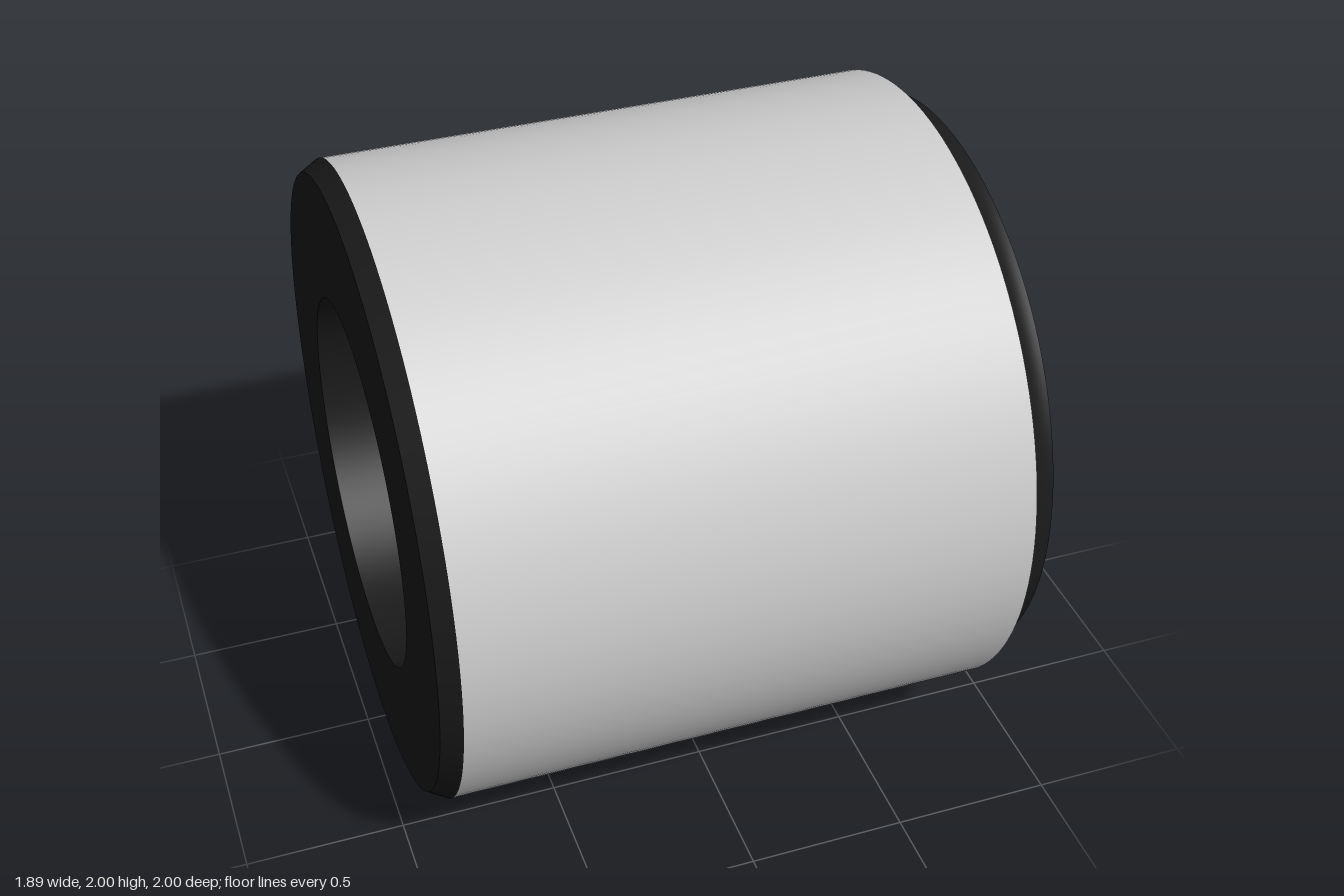
import * as THREE from 'three';

const SEGMENTS = 128;

export function createModel() {
  const model = new THREE.Group();
  model.name = 'bushing';
  const grey = new THREE.MeshStandardMaterial({ color: 0xcccccc });
  const black = new THREE.MeshStandardMaterial({ color: 0x1a1a1a });

  // Revolves [x, radius] points around the x axis; separate calls keep edges sharp
  const ring = (name, material, ...profile) => {
    const points = profile.map(([x, r]) => new THREE.Vector2(r, x));
    const geometry = new THREE.LatheGeometry(points, SEGMENTS);
    geometry.rotateZ(-Math.PI / 2).translate(0, 1, 0);
    const mesh = new THREE.Mesh(geometry, material);
    mesh.name = name;
    model.add(mesh);
  };

  // Concave quarter curve stepping down to the raised end face
  const cove = [];
  for (let i = 0; i <= 12; i++) {
    const a = (i / 12) * Math.PI / 2;
    cove.push([0.945 - 0.095 * Math.cos(a), 1 - 0.08 * Math.sin(a)]);
  }

  // Outside
  ring('outerChamfer', black, [-0.945, 0.965], [-0.885, 1]);
  ring('outerSleeve', grey, [-0.885, 1], [0.85, 1]);
  ring('outerCove', black, ...cove);

  // Wide end, bore and narrow end
  ring('wideEndFace', black, [0.945, 0.92], [0.945, 0.77]);
  ring('mouthChamfer', black, [0.945, 0.77], [0.915, 0.74]);
  ring('wideBore', black, [0.915, 0.74], [-0.56, 0.74]);
  ring('boreShoulder', black, [-0.56, 0.74], [-0.72, 0.58]);
  ring('narrowBore', black, [-0.72, 0.58], [-0.945, 0.58]);
  ring('narrowEndFace', black, [-0.945, 0.58], [-0.945, 0.965]);

  return model;
}
